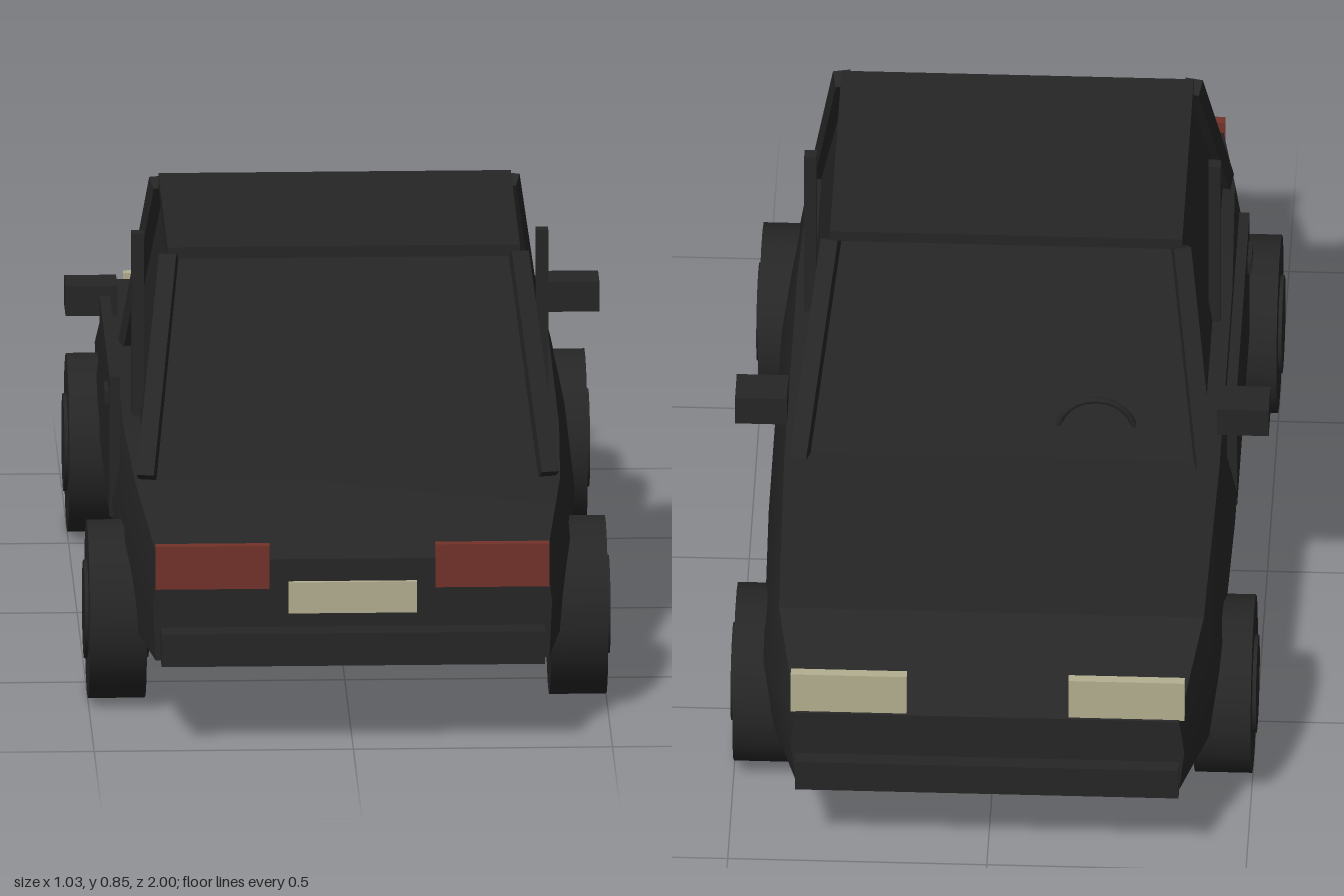
import * as THREE from 'three';
import { toCreasedNormals } from 'three/addons/utils/BufferGeometryUtils.js';

const mat = (name, color) => {
  const m = new THREE.MeshStandardMaterial({ color });
  m.name = name;
  return m;
};

// Skin a list of equal-length rings (counter-clockwise about the loft direction) and cap both ends.
function loft(rings, crease) {
  const n = rings[0].length, last = (rings.length - 1) * n, index = [];
  for (let i = 0; i < rings.length - 1; i++) {
    for (let j = 0; j < n; j++) {
      const k = (j + 1) % n;
      const a = i * n + j, b = i * n + k, c = a + n, d = b + n;
      index.push(a, b, c, b, d, c);
    }
  }
  for (let j = 1; j < n - 1; j++) {
    index.push(0, j + 1, j);
    index.push(last, last + j, last + j + 1);
  }
  const geo = new THREE.BufferGeometry();
  geo.setAttribute('position', new THREE.Float32BufferAttribute(rings.flat(2), 3));
  geo.setIndex(index);
  return toCreasedNormals(geo, crease);
}

export function createModel() {
  const car = new THREE.Group();
  car.name = 'car';
  const black = mat('black', 0x262626);
  const red = mat('lampRed', 0x73332a);
  const cream = mat('lampCream', 0xb3af90);

  const add = (name, geo, material, x = 0, y = 0, z = 0) => {
    const mesh = new THREE.Mesh(geo, material);
    mesh.name = name;
    mesh.position.set(x, y, z);
    car.add(mesh);
    return mesh;
  };
  // Box given by its limits on each axis
  const box = (name, material, [x0, x1], [y0, y1], [z0, z1]) =>
    add(name, new THREE.BoxGeometry(x1 - x0, y1 - y0, z1 - z0), material,
      (x0 + x1) / 2, (y0 + y1) / 2, (z0 + z1) / 2);
  // Square bar between two points
  const bar = (name, from, to, size) => {
    const a = new THREE.Vector3(...from), b = new THREE.Vector3(...to);
    const mesh = add(name, new THREE.BoxGeometry(size, size, a.distanceTo(b)), black);
    mesh.position.copy(a).add(b).multiplyScalar(0.5);
    mesh.lookAt(b);
    return mesh;
  };

  // Lower body: [z, bottom half width, middle half width, top half width, top height]
  const sections = [
    [-0.97, 0.37, 0.38, 0.37, 0.33],
    [-0.79, 0.42, 0.44, 0.41, 0.45],
    [-0.30, 0.43, 0.45, 0.42, 0.46],
    [0.30, 0.43, 0.45, 0.42, 0.455],
    [0.66, 0.42, 0.43, 0.41, 0.448],
    [0.95, 0.38, 0.385, 0.375, 0.37],
  ];
  add('body', loft(sections.map(([z, wb, wm, wt, h]) => {
    const m = 0.17 + (h - 0.17) * 0.55;
    return [[wb, 0.17, z], [wm, m, z], [wt, h, z], [-wt, h, z], [-wm, m, z], [-wb, 0.17, z]];
  }), 0.5), black);

  // Cabin
  const rect = (w, y, zBack, zFront) =>
    [[w, y, zBack], [w, y, zFront], [-w, y, zFront], [-w, y, zBack]];
  add('cabin', loft([rect(0.39, 0.43, 0.66, -0.3), rect(0.327, 0.84, 0.425, -0.09)], 0.2), black);
  box('roof', black, [-0.34, 0.34], [0.83, 0.853], [-0.1, 0.435]);

  for (const s of [-1, 1]) {
    // Window pillars
    bar('rearPillar', [s * 0.388, 0.455, 0.66], [s * 0.337, 0.835, 0.435], 0.034);
    bar('frontPillar', [s * 0.39, 0.455, -0.295], [s * 0.337, 0.835, -0.1], 0.034);
    box('doorPost', black, [s * 0.39 - 0.012, s * 0.39 + 0.012], [0.45, 0.82], [0.19, 0.215]);

    // Mirrors
    box('mirror', black, [s * 0.465 - 0.05, s * 0.465 + 0.05], [0.535, 0.595], [-0.3, -0.22]);

    // Lamps
    box('tailLamp', red, [s * 0.27 - 0.11, s * 0.27 + 0.11], [0.312, 0.398], [0.933, 0.953]);
    box('headLamp', cream, [s * 0.268 - 0.112, s * 0.268 + 0.112], [0.33, 0.418], [-0.967, -0.947]);

    // Wheels with hubs
    for (const z of [0.585, -0.615]) {
      const tire = new THREE.CylinderGeometry(0.173, 0.173, 0.11, 18).rotateZ(Math.PI / 2);
      add('tire', tire, black, s * 0.445, 0.173, z);
      const hub = new THREE.CylinderGeometry(0.095, 0.095, 0.124, 18).rotateZ(Math.PI / 2);
      add('hub', hub, black, s * 0.445, 0.173, z);
    }
  }

  // Bumpers and number plate
  box('rearBumper', black, [-0.37, 0.37], [0.17, 0.235], [0.94, 1]);
  box('frontBumper', black, [-0.37, 0.37], [0.17, 0.235], [-1, -0.96]);
  box('numberPlate', cream, [-0.124, 0.124], [0.268, 0.33], [0.965, 0.974]);

  // Separate door on one side, with its handle
  box('door', black, [-0.45, -0.43], [0.3, 0.58], [-0.2, 0.38]);
  box('doorHandle', black, [-0.458, -0.44], [0.515, 0.54], [0.27, 0.34]);

  // Steering wheel
  add('steeringWheel', new THREE.TorusGeometry(0.075, 0.007, 6, 24), black, -0.18, 0.5, -0.25);

  return car;
}
